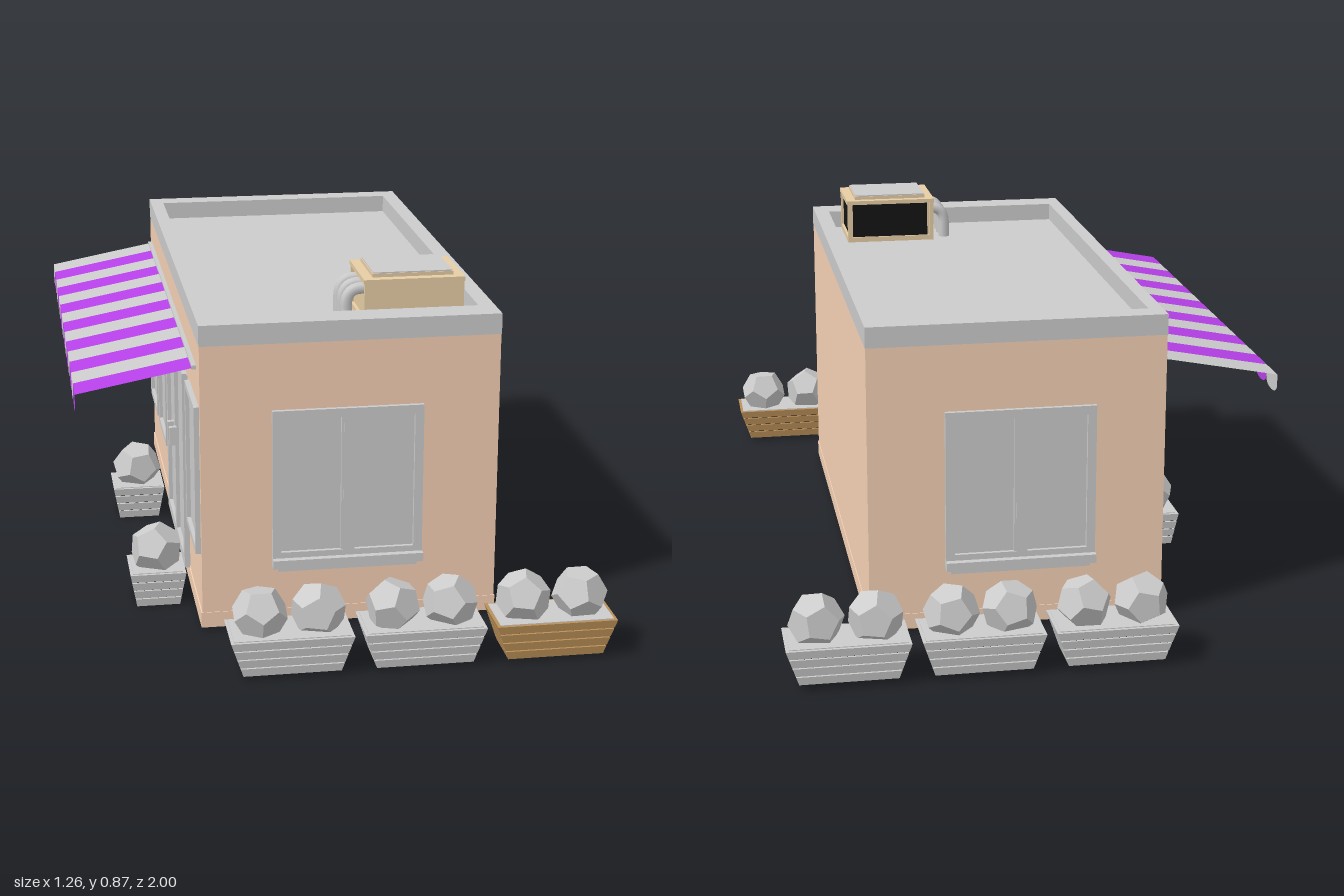
import * as THREE from 'three';

const mat = (color, extra = {}) => new THREE.MeshStandardMaterial({ color, ...extra });
const grey = mat(0xcccccc);
const greyFlat = mat(0xcccccc, { flatShading: true });
const wall = mat(0xf5d0b4);
const wood = mat(0xbb9058);
const tan = mat(0xe6cda4);
const black = mat(0x141414);
const greyCloth = mat(0xcccccc, { side: THREE.DoubleSide });
const purpleCloth = mat(0xb640e8, { side: THREE.DoubleSide });

function add(parent, name, geo, material, x = 0, y = 0, z = 0) {
  const m = new THREE.Mesh(geo, material);
  m.name = name;
  m.position.set(x, y, z);
  parent.add(m);
  return m;
}

// Box given by its min and max corners
function block(parent, name, material, [x0, y0, z0], [x1, y1, z1]) {
  return add(parent, name, new THREE.BoxGeometry(x1 - x0, y1 - y0, z1 - z0), material,
    (x0 + x1) / 2, (y0 + y1) / 2, (z0 + z1) / 2);
}

function group(parent, name, x = 0, y = 0, z = 0, ry = 0) {
  const g = new THREE.Group();
  g.name = name;
  g.position.set(x, y, z);
  g.rotation.y = ry;
  parent.add(g);
  return g;
}

function rect(Type, x0, y0, x1, y1) {
  return new Type([[x0, y0], [x1, y0], [x1, y1], [x0, y1]].map(p => new THREE.Vector2(...p)));
}

// Extruded rectangle with rectangular openings, facing +z
function frameGeometry(x0, y0, x1, y1, holes, depth) {
  const s = rect(THREE.Shape, x0, y0, x1, y1);
  for (const h of holes) s.holes.push(rect(THREE.Path, ...h));
  return new THREE.ExtrudeGeometry(s, { depth, bevelEnabled: false });
}

// Framed opening with equal panes side by side, facing +z
function framed(parent, name, w, y0, y1, panes, border, x, z, ry) {
  const g = group(parent, name, x, 0, z, ry);
  const pw = (w - border * (panes + 1)) / panes;
  const holes = [];
  for (let i = 0; i < panes; i++) {
    const a = -w / 2 + border + i * (pw + border);
    holes.push([a, y0 + border, a + pw, y1 - border]);
  }
  add(g, 'frame', frameGeometry(-w / 2, y0, w / 2, y1, holes, 0.013), grey);
  block(g, 'glass', grey, [-w / 2 + 0.005, y0 + 0.005, -0.005], [w / 2 - 0.005, y1 - 0.005, 0.003]);
  return g;
}

// Tapered box: size at the bottom and at the top, base on y = 0
function taperedBox(wb, db, wt, dt, h) {
  const g = new THREE.BoxGeometry(1, h, 1).translate(0, h / 2, 0);
  const p = g.attributes.position;
  for (let i = 0; i < p.count; i++) {
    const top = p.getY(i) > h / 2;
    p.setX(i, p.getX(i) * (top ? wt : wb));
    p.setZ(i, p.getZ(i) * (top ? dt : db));
  }
  g.computeVertexNormals();
  return g;
}

// Slatted planter box with faceted bushes
let bushCount = 0;
function planter(parent, x, y, z, wb, wt, db, dt, bushes, material) {
  const g = group(parent, 'planter', x, y, z);
  const h = 0.09, n = 4, gap = 0.003, sh = (h - gap * (n - 1)) / n;
  const at = (a, b, yy) => a + (b - a) * yy / h;
  for (let i = 0; i < n; i++) {
    const a = i * (sh + gap), b = a + sh;
    add(g, 'slat', taperedBox(at(wb, wt, a), at(db, dt, a), at(wb, wt, b), at(db, dt, b), sh), material, 0, a);
  }
  add(g, 'liner', taperedBox(wb - 0.012, db - 0.012, wt - 0.012, dt - 0.012, h - 0.004), black, 0, 0.002);
  add(g, 'soil', new THREE.BoxGeometry(wt - 0.016, 0.004, dt - 0.016), grey, 0, h);
  for (const bx of bushes) {
    const b = add(g, 'bush', new THREE.DodecahedronGeometry(0.068), greyFlat, bx, 0.135, 0);
    const k = bushCount++;
    b.rotation.set(k * 1.3 + 0.4, k * 2.1, k * 0.7);
  }
}

function buildShop(root) {
  const g = group(root, 'building');
  block(g, 'walls', wall, [-0.34, 0.01, -0.69], [0.4, 0.74, 0.69]);
  block(g, 'skirting', wall, [-0.343, 0.01, -0.692], [0.402, 0.05, 0.692]);
  block(g, 'roof', grey, [-0.32, 0.735, -0.66], [0.38, 0.743, 0.65]);
  // Raised rim round the roof
  const rim = frameGeometry(-0.341, -0.691, 0.401, 0.691, [[-0.305, -0.61, 0.36, 0.63]], 0.052);
  add(g, 'parapet', rim.rotateX(-Math.PI / 2), grey, 0, 0.738, 0);

  // End windows with sills
  for (const s of [1, -1]) {
    const w = framed(g, 'endWindow', 0.375, 0.18, 0.57, 2, 0.022, 0.0225, s * 0.688, s > 0 ? 0 : Math.PI);
    block(w, 'mullion', grey, [-0.017, 0.19, 0], [0.017, 0.56, 0.012]);
    block(w, 'sill', grey, [-0.188, 0.165, -0.005], [0.188, 0.187, 0.03]);
    block(w, 'sillBase', grey, [-0.175, 0.152, -0.005], [0.175, 0.165, 0.014]);
  }

  // Shop front on the awning side
  for (const z of [-0.52, -0.245, 0.56])
    framed(g, 'shopWindow', 0.225, 0.2, 0.58, 1, 0.016, -0.34, z, -Math.PI / 2);
  const door = framed(g, 'doubleDoor', 0.46, 0.05, 0.58, 2, 0.028, -0.342, 0.17, -Math.PI / 2);
  for (const s of [-1, 1])
    block(door, 'doorHandle', grey, [s * 0.025 - 0.008, 0.32, 0.01], [s * 0.025 + 0.008, 0.37, 0.03]);
}

function buildAwning(root) {
  const g = group(root, 'awning');
  const n = 14, z0 = -0.65, w = 1.27 / n, run = 0.29, drop = 0.055;
  const slope = new THREE.PlaneGeometry(Math.hypot(run, drop), w)
    .rotateX(-Math.PI / 2).rotateZ(Math.atan2(drop, run));
  // Hanging flap with a rounded lower edge
  const flap = new THREE.Shape();
  flap.moveTo(-w / 2, 0);
  flap.lineTo(-w / 2, -0.03);
  flap.bezierCurveTo(-w / 2, -0.058, w / 2, -0.058, w / 2, -0.03);
  flap.lineTo(w / 2, 0);
  const flapGeo = new THREE.ShapeGeometry(flap, 8).rotateY(-Math.PI / 2);
  for (let i = 0; i < n; i++) {
    const z = z0 + (i + 0.5) * w, m = i % 2 ? purpleCloth : greyCloth;
    add(g, 'stripe', slope, m, -0.345 - run / 2, 0.665 - drop / 2, z);
    add(g, 'flap', flapGeo, m, -0.635, 0.61, z);
  }
  block(g, 'rail', grey, [-0.351, 0.66, -0.65], [-0.335, 0.67, 0.62]);
}

function buildVent(root) {
  const g = group(root, 'roofUnit');
  block(g, 'casing', tan, [0.085, 0.74, 0.41], [0.315, 0.855, 0.597]);
  block(g, 'frontPanel', tan, [0.077, 0.74, 0.59], [0.325, 0.855, 0.603]);
  block(g, 'topRim', tan, [0.075, 0.852, 0.4], [0.327, 0.863, 0.605]);
  block(g, 'lid', tan, [0.1, 0.86, 0.42], [0.302, 0.872, 0.582]);
  block(g, 'lidTop', grey, [0.102, 0.87, 0.422], [0.3, 0.875, 0.58]);
  // Dark grilles held between corner posts
  block(g, 'sideGrille', black, [0.3, 0.755, 0.415], [0.318, 0.852, 0.59]);
  block(g, 'backGrille', black, [0.095, 0.755, 0.406], [0.31, 0.852, 0.42]);
  for (const x of [0.077, 0.313])
    block(g, 'post', tan, [x, 0.74, 0.401], [x + 0.012, 0.855, 0.413]);
  block(g, 'baseRim', tan, [0.077, 0.74, 0.401], [0.325, 0.757, 0.603]);
  // Bent pipes running down to the roof
  const path = new THREE.CurvePath();
  const v = (x, y) => new THREE.Vector3(x, y, 0);
  path.add(new THREE.LineCurve3(v(0.09, 0.828), v(0.08, 0.828)));
  path.add(new THREE.QuadraticBezierCurve3(v(0.08, 0.828), v(0.041, 0.828), v(0.041, 0.785)));
  path.add(new THREE.LineCurve3(v(0.041, 0.785), v(0.041, 0.74)));
  const pipe = new THREE.TubeGeometry(path, 16, 0.015, 8);
  for (const z of [0.445, 0.495, 0.545]) add(g, 'pipe', pipe, grey, 0, 0, z);
}

export function createModel() {
  const root = new THREE.Group();
  root.name = 'shop';
  buildShop(root);
  buildAwning(root);
  buildVent(root);
  // Planter rows at both ends, small pots either side of the door
  for (const x of [-0.158, 0.162, 0.482]) {
    planter(root, x, 0.012, 0.927, 0.235, 0.295, 0.12, 0.145, [-0.07, 0.07], x > 0.4 ? wood : grey);
    planter(root, x, 0.018, -0.93, 0.235, 0.295, 0.12, 0.145, [-0.07, 0.07], grey);
  }
  for (const z of [-0.16, 0.465])
    planter(root, -0.435, 0.003, z, 0.11, 0.142, 0.115, 0.142, [0], grey);
  return root;
}
